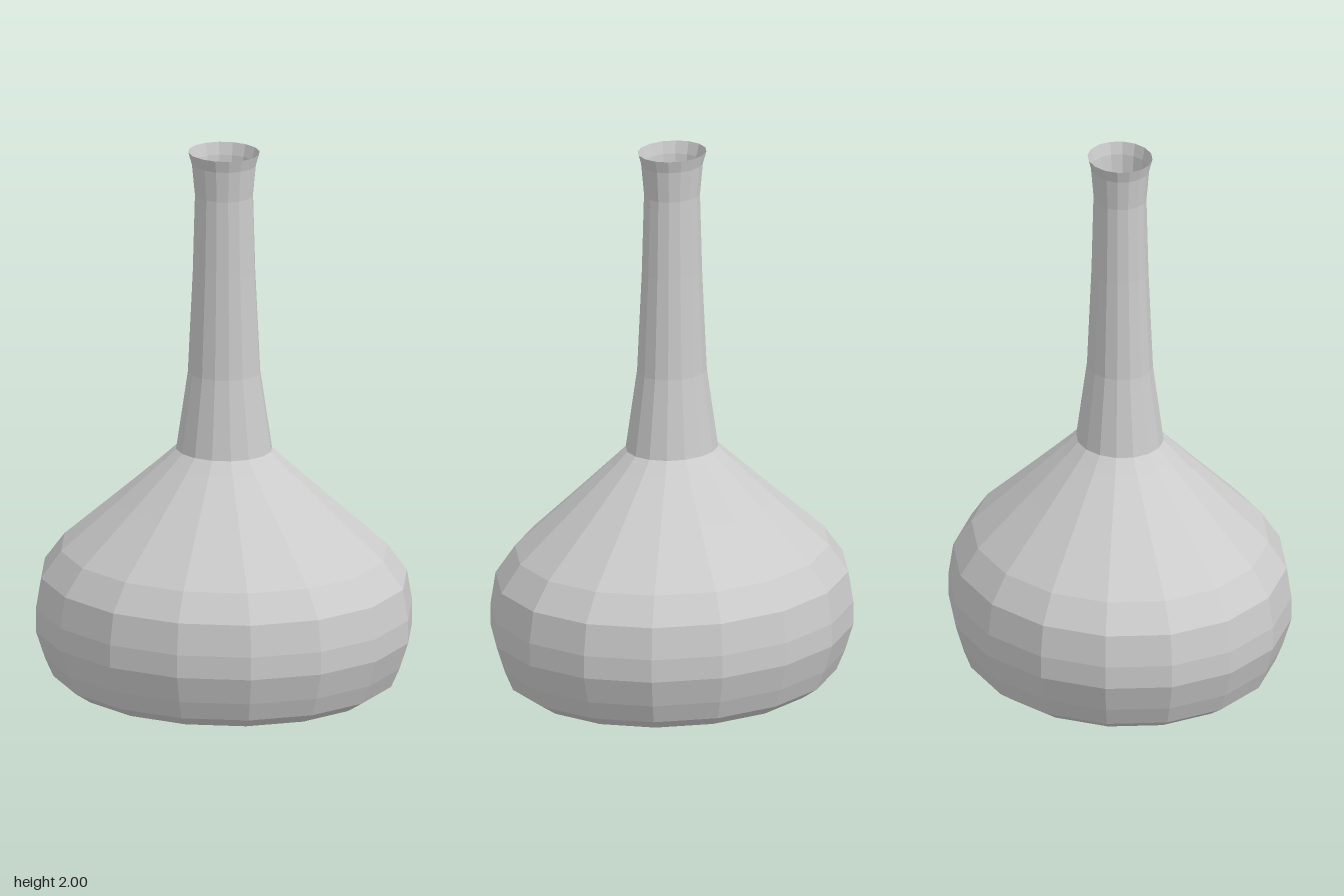
import * as THREE from 'three';

const SIDES = 16;
const DEPTH = 0.89; // the vessel is slightly oval: narrower in z than in x

export function createModel() {
  const model = new THREE.Group();
  model.name = 'flask';
  const material = new THREE.MeshStandardMaterial({
    color: 0xcccccc, flatShading: true, side: THREE.DoubleSide,
  });

  // Turns a [radius, height] profile into an oval faceted shell
  const addShell = (name, profile) => {
    const points = profile.map(([r, y]) => new THREE.Vector2(r, y));
    const geometry = new THREE.LatheGeometry(points, SIDES);
    geometry.scale(1, 1, DEPTH);
    const mesh = new THREE.Mesh(geometry, material);
    mesh.name = name;
    model.add(mesh);
  };

  // Flat base with a bevelled foot
  addShell('base', [[0, 0], [0.56, 0], [0.622, 0.04]]);

  // Bulging body and sloping shoulder
  addShell('body', [
    [0.622, 0.04], [0.653, 0.11], [0.686, 0.21], [0.686, 0.295], [0.667, 0.41],
    [0.594, 0.51], [0.39, 0.69], [0.228, 0.835], [0.175, 0.885],
  ]);

  // Long tapering neck
  addShell('neck', [[0.175, 0.885], [0.132, 1.175], [0.114, 1.55], [0.106, 1.84]]);

  // Flared open lip
  addShell('lip', [[0.106, 1.84], [0.117, 1.955], [0.13, 2]]);

  return model;
}
